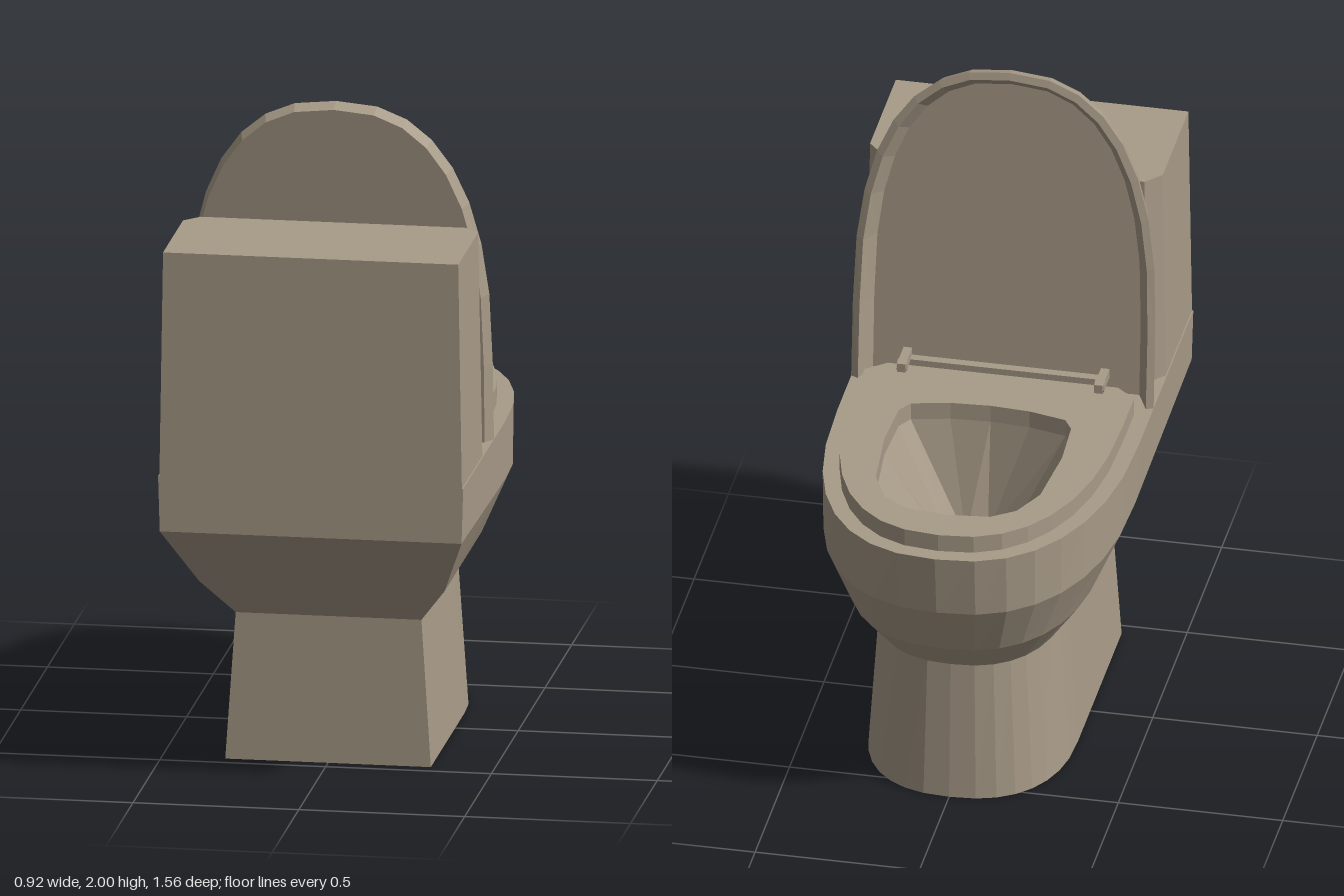
import * as THREE from 'three';

const V = (x, y, z) => new THREE.Vector3(x, y, z);

// U-shaped outline in x/z: flat back at zb, straight sides to z0, rounded nose at zf
function outline(w, zb, z0, zf, n = 2.4, steps = 16) {
  const pts = [[w, zb]];
  for (let i = 0; i <= steps; i++) {
    const t = (i / steps) * Math.PI, c = Math.cos(t), s = Math.sin(t);
    pts.push([w * Math.sign(c) * Math.abs(c) ** (2 / n), z0 + (zf - z0) * Math.max(s, 0) ** (2 / n)]);
  }
  pts.push([-w, zb]);
  return pts;
}

// Skin between rows of points, with optional fan caps at the first and last row
function loft(rows, { closed = true, first = false, last = false } = {}) {
  const n = rows[0].length, pos = rows.flat().flatMap((p) => [p.x, p.y, p.z]), idx = [];
  for (let r = 0; r < rows.length - 1; r++)
    for (let i = 0; i < (closed ? n : n - 1); i++) {
      const j = (i + 1) % n, a = r * n + i, b = r * n + j;
      idx.push(a, b, b + n, a, b + n, a + n);
    }
  const top = (rows.length - 1) * n;
  for (let i = 1; i < n - 1; i++) {
    if (first) idx.push(0, i + 1, i);
    if (last) idx.push(top, top + i, top + i + 1);
  }
  const indexed = new THREE.BufferGeometry();
  indexed.setAttribute('position', new THREE.Float32BufferAttribute(pos, 3));
  indexed.setIndex(idx);
  const g = indexed.toNonIndexed();
  g.computeVertexNormals();
  return g;
}

// Flat shape lying in the x/z plane with a hole
function flatShape(pts, hole) {
  const to2 = ([x, z]) => new THREE.Vector2(x, -z);
  const s = new THREE.Shape(pts.map(to2));
  s.holes.push(new THREE.Path(hole.map(to2)));
  return s;
}

export function createModel() {
  const model = new THREE.Group();
  model.name = 'toilet';
  const ceramic = new THREE.MeshStandardMaterial({ color: 0xa89b88, flatShading: true, side: THREE.DoubleSide });
  ceramic.name = 'warm grey ceramic';
  const add = (name, geo, x = 0, y = 0, z = 0) => {
    const m = new THREE.Mesh(geo, ceramic);
    m.name = name;
    m.position.set(x, y, z);
    model.add(m);
    return m;
  };

  // Pedestal and bowl: half width, back z, start of nose, front z, back y, front y
  const ring = ([w, zb, z0, zf, yb, yf]) =>
    outline(w, zb, z0, zf).map(([x, z]) => V(x, yb + (yf - yb) * (zb - z) / (zb - zf), z));
  const foot = [0.31, 0.455, -0.18, -0.57, 0, 0];
  const waist = [0.28, 0.445, -0.17, -0.55, 0.45, 0.45];
  add('pedestal', loft([foot, waist].map(ring), { first: true }));
  add('bowlBody', loft([
    waist,
    [0.37, 0.57, -0.12, -0.67, 0.575, 0.575],
    [0.455, 0.78, -0.04, -0.755, 0.78, 0.75],
    [0.46, 0.78, 0, -0.78, 0.95, 0.95],
  ].map(ring)));

  // Opening, shared by the rim and the seat
  const half = [[0.13, -0.595], [0.2, -0.545], [0.25, -0.44], [0.27, -0.22], [0.262, -0.05], [0.235, -0.005], [0.12, 0.022]];
  const hole = [[0, -0.61], ...half.map(([x, z]) => [-x, z]), [0, 0.03], ...half.slice().reverse()];
  const rim = new THREE.ShapeGeometry(flatShape(outline(0.46, 0.78, 0, -0.78), hole));
  add('rim', rim.rotateX(-Math.PI / 2), 0, 0.95, 0);

  // Basin funnel narrowing to a small drain well
  const drain = (r, y) => hole.map((_, i) => {
    const t = (Math.round(i / 2) * 2 / hole.length) * Math.PI * 2;
    return V(-r * Math.sin(t), y, -0.11 - 1.2 * r * Math.cos(t));
  });
  add('basin', loft([hole.map(([x, z]) => V(x, 0.95, z)), drain(0.085, 0.58), drain(0.075, 0.52)], { last: true }));

  // Seat with clipped back corners
  const seatPts = [[0.35, 0.21], ...outline(0.41, 0.16, 0, -0.73), [-0.35, 0.21]];
  const seat = new THREE.ExtrudeGeometry(flatShape(seatPts, hole), { depth: 0.055, bevelEnabled: false });
  add('seat', seat.rotateX(-Math.PI / 2), 0, 0.95, 0);

  // Tank with chamfered front corners
  const tankRing = (w, zf, y) => [
    [w, 0.78], [w, zf + 0.05], [w - 0.045, zf], [0.045 - w, zf], [-w, zf + 0.05], [-w, 0.78],
  ].map(([x, z]) => V(x, y, z));
  add('tank', loft([tankRing(0.456, 0.347, 0.95), tankRing(0.445, 0.357, 1.64)], { last: true }));

  // Raised lid: a leaning shell, hollow towards the bowl, t runs from back (0) to front (1)
  const lidRow = (inset, t) => outline(0.46 - inset, 0, -0.24, inset - 1.04, 2.5).map(([x, z]) => {
    const v = -z / 1.04;
    return V(x, 0.96 - 0.01 * t - z * (1 + 0.01 * t), 0.28 + 0.07 * v + t * (-0.085 + 0.035 * v));
  });
  const rows = [lidRow(0.055, 0.25), lidRow(0.022, 1), lidRow(0, 0.9), lidRow(0.016, 0)];
  add('lid', loft(rows, { closed: false, first: true, last: true }));
  const [R, L] = [rows.map((r) => r[0]), rows.map((r) => r[r.length - 1])];
  add('lidBottomEdge', loft([[R[2], R[3], L[3], L[2]], [R[1], R[0], L[0], L[1]]], { closed: false }));

  // Hinges and the rod between them
  add('hingeRod', new THREE.BoxGeometry(0.58, 0.04, 0.035), 0, 0.99, 0.252);
  for (const s of [1, -1]) {
    add('hingeArm', new THREE.BoxGeometry(0.026, 0.03, 0.11), s * 0.3, 1.018, 0.22);
    const pin = new THREE.CylinderGeometry(0.02, 0.02, 0.03, 8).rotateZ(Math.PI / 2);
    add('hingePin', pin, s * 0.3, 1.015, 0.19);
  }
  return model;
}
